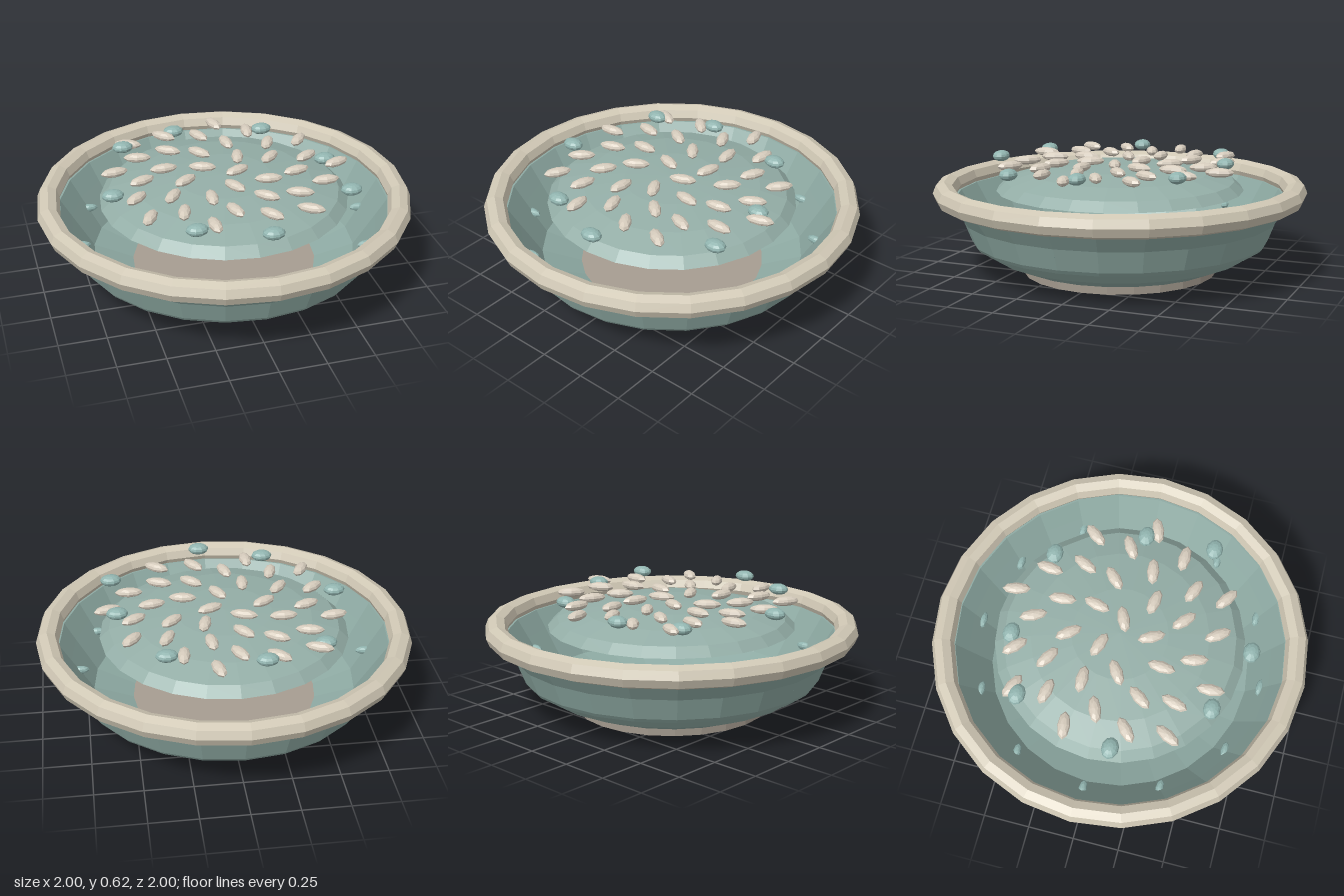
import * as THREE from 'three';

const SIDES = 24;
const GOLDEN = Math.PI * (3 - Math.sqrt(5));

function material(name, color, extra = {}) {
  const m = new THREE.MeshStandardMaterial({ color, flatShading: true, ...extra });
  m.name = name;
  return m;
}

export function createModel() {
  const model = new THREE.Group();
  model.name = 'bowl';
  const glaze = material('teal glaze', 0x8eaaa3, { side: THREE.DoubleSide });
  const cream = material('cream rim', 0xd0c8b5);
  const clay = material('foot clay', 0xa69d91);
  const filling = material('filling teal', 0x94aea7, { side: THREE.DoubleSide });
  const seed = material('seed cream', 0xd6ccbd);
  const berryTeal = material('berry teal', 0x92b5b0);

  function add(name, geometry, mat, x = 0, y = 0, z = 0, parent = model) {
    const mesh = new THREE.Mesh(geometry, mat);
    mesh.name = name;
    mesh.position.set(x, y, z);
    parent.add(mesh);
    return mesh;
  }
  function group(name) {
    const g = new THREE.Group();
    g.name = name;
    model.add(g);
    return g;
  }

  // Foot disc, its top showing inside the bowl
  add('foot', new THREE.CylinderGeometry(0.53, 0.525, 0.06, SIDES), clay, 0, 0.03, 0);

  // Stepped outer wall, then down the inner wall to the floor ring
  const profile = [
    [0.5, 0.05], [0.56, 0.05], [0.69, 0.105], [0.73, 0.15], [0.785, 0.165], [0.8, 0.185],
    [0.845, 0.3], [0.9, 0.38], [0.94, 0.42], [0.88, 0.42], [0.82, 0.32], [0.71, 0.14], [0.5, 0.062],
  ].map(([r, y]) => new THREE.Vector2(r, y));
  add('bowlWall', new THREE.LatheGeometry(profile, SIDES), glaze);

  // Rounded rim
  const rim = new THREE.TorusGeometry(0.94, 0.06, 8, SIDES).rotateX(-Math.PI / 2);
  add('rim', rim, cream, 0, 0.445, 0);

  // Shallow dome of filling
  const dome = new THREE.SphereGeometry(1, SIDES, 4, 0, Math.PI * 2, 0, Math.PI / 2).scale(0.665, 0.125, 0.665);
  add('filling', dome, filling, 0, 0.45, 0);

  // Seeds in a sunflower spiral
  const seeds = group('seeds');
  const seedShape = new THREE.SphereGeometry(1, 8, 6).scale(0.075, 0.025, 0.033);
  for (let i = 0; i < 36; i++) {
    const r = 0.63 * Math.sqrt((i + 0.5) / 36);
    const a = i * GOLDEN;
    const grain = add('seed', seedShape, seed, r * Math.cos(a), 0.588, -r * Math.sin(a), seeds);
    grain.rotation.y = a + 0.4;
  }

  // Berries scattered round the edge
  const berries = group('berries');
  const berryShape = new THREE.SphereGeometry(1, 10, 8).scale(0.058, 0.03, 0.045);
  for (let i = 0; i < 8; i++) {
    const r = 0.565 + 0.062 * (i % 3);
    const a = i * GOLDEN;
    add('berry', berryShape, berryTeal, r * Math.cos(a), 0.592, -r * Math.sin(a), berries);
  }

  // Raised dots on the inner wall
  const dots = group('wallDots');
  const dotShape = new THREE.SphereGeometry(1, 8, 6).scale(0.05, 0.022, 0.022);
  for (let i = 0; i < 12; i++) {
    const a = (i * Math.PI) / 6;
    add('wallDot', dotShape, berryTeal, 0.78 * Math.cos(a), 0.258, 0.78 * Math.sin(a), dots);
  }
  return model;
}
